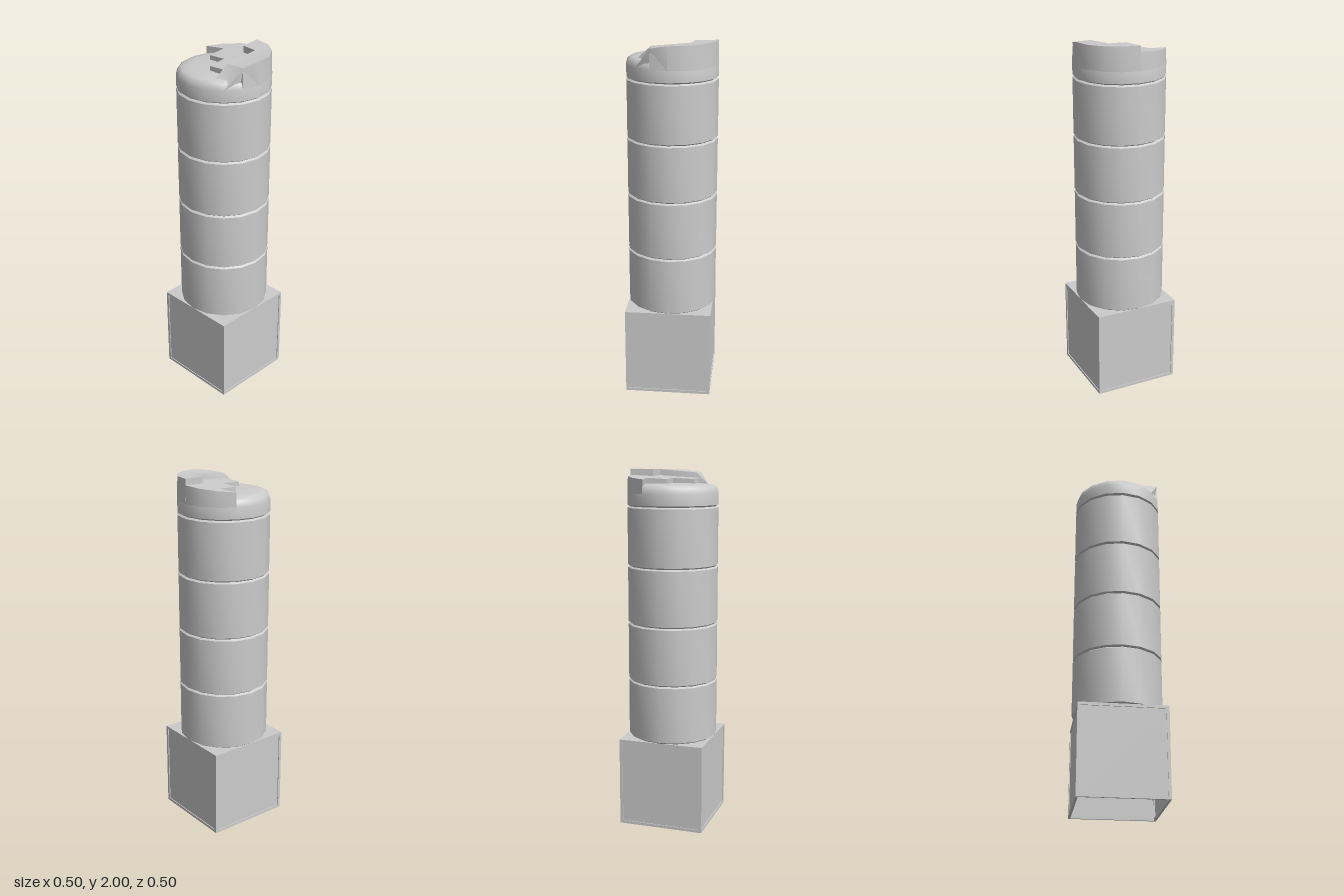
import * as THREE from 'three';
import { toCreasedNormals } from 'three/addons/utils/BufferGeometryUtils.js';

const R = 0.252, SIDES = 16;
const stone = new THREE.MeshStandardMaterial({ color: 0xcccccc, side: THREE.DoubleSide });

function mesh(name, geometry) {
  const m = new THREE.Mesh(geometry, stone);
  m.name = name;
  return m;
}

const lathe = (pts, crease) =>
  toCreasedNormals(new THREE.LatheGeometry(pts.map(p => new THREE.Vector2(...p)), SIDES), crease);

// Points on the 16-sided rim, as [x, z], from step a to step b (step 0 is +x, turning towards +z)
function rim(a, b) {
  const pts = [];
  for (let i = a; i <= b; i++) {
    const t = (i * Math.PI * 2) / SIDES;
    pts.push([R * Math.cos(t), R * Math.sin(t)]);
  }
  return pts;
}

// Broken layer: a prism whose top follows a height rule and whose foot may splay outwards
function terrace(name, outline, bottom, topAt, splay) {
  const shape = new THREE.Shape(outline.map(([x, z]) => new THREE.Vector2(x, -z)));
  const geo = new THREE.ExtrudeGeometry(shape, { depth: 1, bevelEnabled: false });
  geo.rotateX(-Math.PI / 2);
  const p = geo.attributes.position;
  for (let i = 0; i < p.count; i++) {
    const x = p.getX(i), z = p.getZ(i);
    if (p.getY(i) > 0.5) {
      p.setXYZ(i, x * 0.985, topAt(x, z), z * 0.985);
    } else {
      const [fx, fz] = splay ? splay(x, z) : [x, z];
      p.setXYZ(i, fx, bottom, fz);
    }
  }
  return mesh(name, toCreasedNormals(geo, 0.6));
}

// Hollow square plinth, open below, with a narrow frame round each slightly sunk panel
function plinth() {
  const g = new THREE.Group();
  g.name = 'plinth';
  const h = 0.2425, H = 0.5, edge = 0.016;
  const frame = new THREE.Shape([[-h, 0], [h, 0], [h, H], [-h, H]].map(p => new THREE.Vector2(...p)));
  const a = h - edge, b = H - edge;
  frame.holes.push(new THREE.Path([[-a, edge], [-a, b], [a, b], [a, edge]].map(p => new THREE.Vector2(...p))));
  const frameGeo = new THREE.ExtrudeGeometry(frame, { depth: 0.012, bevelEnabled: false });
  frameGeo.translate(0, 0, h - 0.012);
  const panelGeo = new THREE.PlaneGeometry(2 * a, b - edge).translate(0, H / 2, h - 0.005);
  for (let i = 0; i < 4; i++) {
    const side = new THREE.Group();
    side.name = 'plinthSide';
    side.add(mesh('plinthFrame', frameGeo), mesh('plinthPanel', panelGeo));
    side.rotation.y = (i * Math.PI) / 2;
    g.add(side);
  }
  g.add(mesh('plinthTop', new THREE.PlaneGeometry(2 * h, 2 * h).rotateX(-Math.PI / 2).translate(0, H, 0)));
  g.position.set(0.002, 0, 0.002);
  return g;
}

export function createModel() {
  const model = new THREE.Group();
  model.name = 'brokenColumn';
  model.add(plinth());

  // Whole drums with small chamfers that leave grooves at the joints
  const joints = [0.5, 0.827, 1.152, 1.472, 1.8], c = 0.008;
  for (let i = 0; i < 4; i++) {
    const y0 = joints[i], y1 = joints[i + 1];
    model.add(mesh('drum', lathe([[R - 0.012, y0], [R, y0 + c], [R, y1 - c], [R - 0.012, y1]], 0.6)));
  }

  // Broken top drum: worn lower body, then two jagged layers rising to the back left
  const top = new THREE.Group();
  top.name = 'brokenDrum';
  top.add(mesh('wornBody', lathe(
    [[R - 0.012, 1.8], [R, 1.808], [R, 1.87], [0.244, 1.9], [0.225, 1.914], [0.18, 1.921], [0, 1.925]], 0.8)));

  top.add(terrace('middleLayer', [
    ...rim(9, 17), [0.125, 0.1], [0.11, 0.118], [0.015, 0.118], [0, 0], [-0.107, 0], [-0.12, -0.117],
  ], 1.87, (x, z) => 1.952 + 0.05 * x - 0.06 * z));

  top.add(terrace('upperLayer', [
    ...rim(12, 17), [0.125, 0.1], [0.115, -0.115], [0.02, -0.125],
  ], 1.87, (x, z) => (z > 0.05 ? 1.98 : 1.996 - 0.016 * z),
  // the front end slopes down to the worn body
  (x, z) => (z > 0.05 ? (x > 0.2 ? [0.178, 0.178] : [0.105, 0.222]) : [x, z])));
  model.add(top);

  return model;
}
